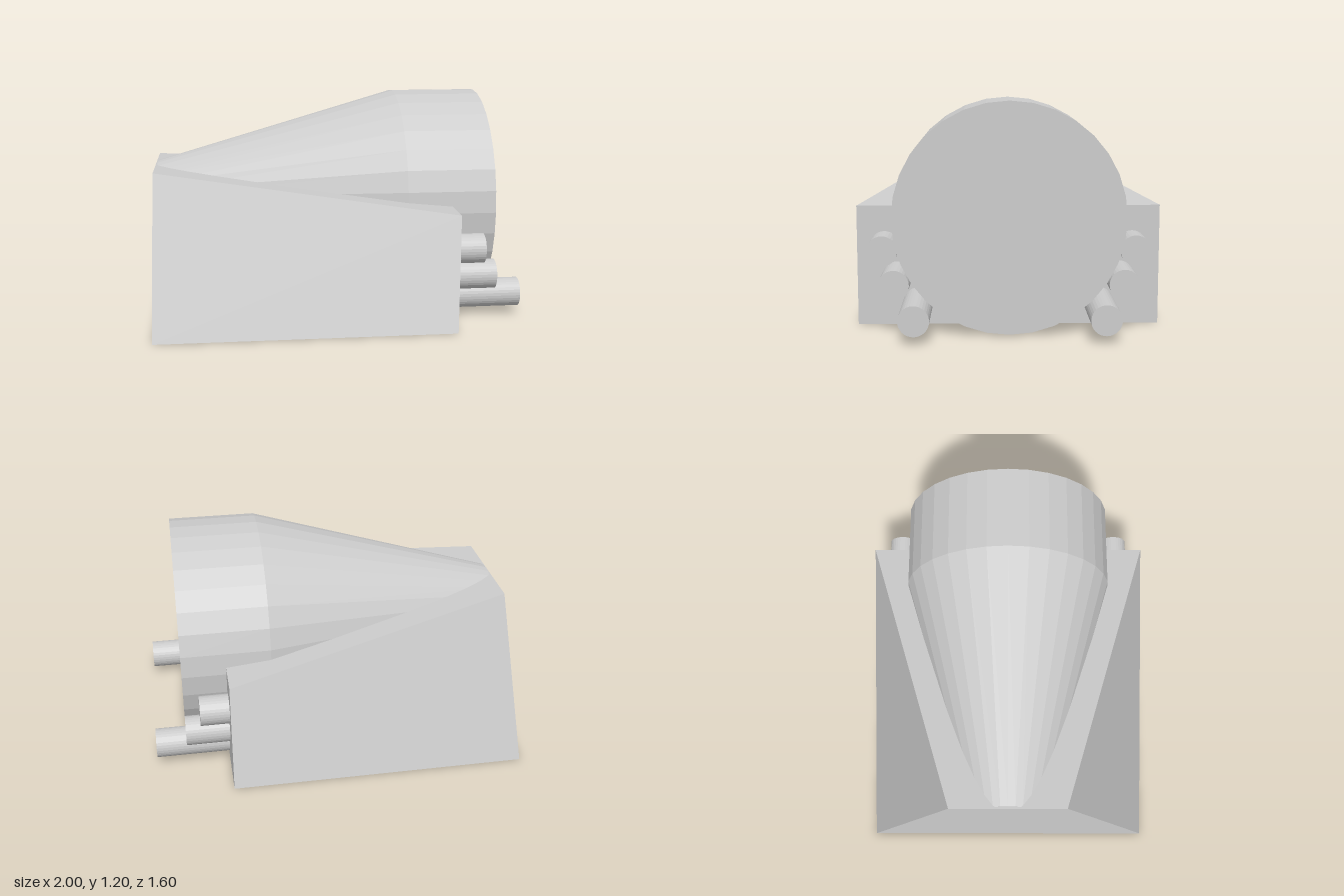
import * as THREE from 'three';

const material = new THREE.MeshStandardMaterial({ color: 0xcccccc });
const flatMaterial = new THREE.MeshStandardMaterial({ color: 0xcccccc, flatShading: true });

// Solid from quads, each shaded with one normal and split along its first diagonal
function quadSolid(quads) {
  const positions = [], normals = [], index = [];
  quads.forEach((quad, q) => {
    const [a, b, c, d] = quad.map((p) => new THREE.Vector3(...p));
    const n = c.clone().sub(a).cross(d.clone().sub(b)).normalize();
    quad.forEach((p) => { positions.push(...p); normals.push(n.x, n.y, n.z); });
    index.push(...[0, 1, 2, 0, 2, 3].map((i) => q * 4 + i));
  });
  const geometry = new THREE.BufferGeometry();
  geometry.setAttribute('position', new THREE.Float32BufferAttribute(positions, 3));
  geometry.setAttribute('normal', new THREE.Float32BufferAttribute(normals, 3));
  geometry.setIndex(index);
  return geometry;
}

// Wedge-shaped base, one end tapering inward towards its top
function makeBase() {
  const narrow = (s) => [[-1, 0, 0.8 * s], [-1, 0.8, 0.32 * s]];
  const wide = (s) => [[0.6, 0, 0.8 * s], [0.6, 0.64, 0.8 * s]];
  const [nl, nlTop] = narrow(1), [nr, nrTop] = narrow(-1);
  const [wl, wlTop] = wide(1), [wr, wrTop] = wide(-1);
  return quadSolid([
    [nl, wl, wlTop, nlTop], // sides
    [nr, nrTop, wrTop, wr],
    [nlTop, wlTop, wrTop, nrTop], // sloping top
    [nr, wr, wl, nl], // underside
    [wl, wr, wrTop, wlTop], // ends
    [nr, nl, nlTop, nrTop],
  ]);
}

export function createModel() {
  const group = new THREE.Group();
  const add = (name, geometry, mat) => {
    const mesh = new THREE.Mesh(geometry, mat);
    mesh.name = name;
    group.add(mesh);
    return mesh;
  };

  add('base', makeBase(), material);

  // Tapered barrel lying along x, with closed ends
  const profile = [[0, -0.99], [0.21, -0.99], [0.598, 0.36], [0.598, 0.835], [0, 0.835]]
    .map(([r, x]) => new THREE.Vector2(r, x));
  const barrel = add('barrel', new THREE.LatheGeometry(profile, 32).rotateZ(-Math.PI / 2), flatMaterial);
  barrel.position.y = 0.602;

  // Three stepped pipes on each side: end x, height, distance from centre
  const pipes = [[0.755, 0.425, 0.655], [0.835, 0.262, 0.59], [1, 0.12, 0.48]];
  const start = 0.58;
  for (const [side, label] of [[1, 'left'], [-1, 'right']]) {
    pipes.forEach(([end, y, z], i) => {
      const geometry = new THREE.CylinderGeometry(0.079, 0.079, end - start, 32).rotateZ(-Math.PI / 2);
      add(`${label}Pipe${i + 1}`, geometry, flatMaterial).position.set((start + end) / 2, y, z * side);
    });
  }
  return group;
}
